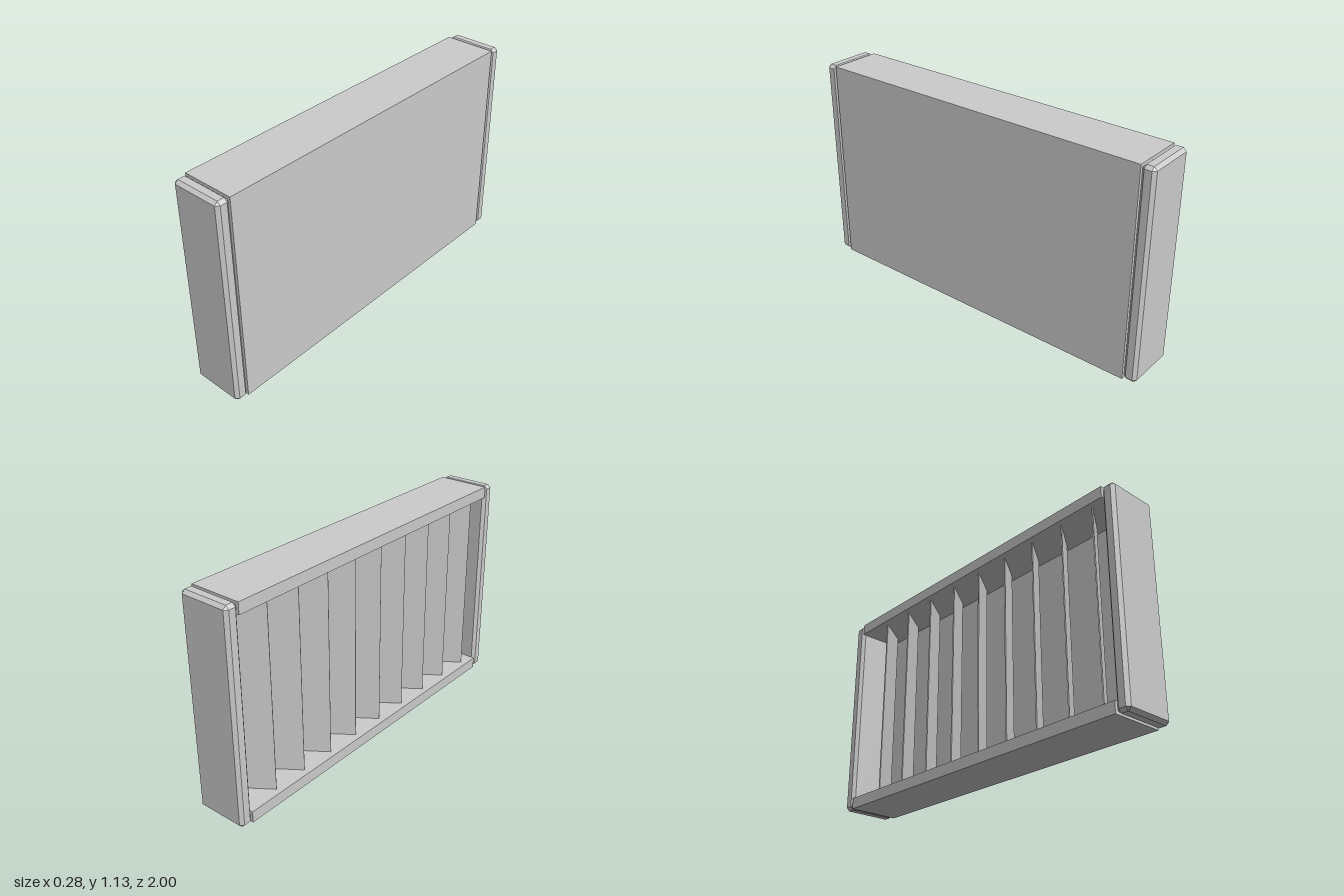
import * as THREE from 'three';
import { ConvexGeometry } from 'three/addons/geometries/ConvexGeometry.js';

const W = 0.28, H = 1.127, BODY = 1.86, RAIL = 0.06, WALL = 0.06;

// Box with flat 45 degree bevels on every edge
function bevelledBox(w, h, d, b) {
  const points = [];
  for (const x of [-1, 1]) for (const y of [-1, 1]) for (const z of [-1, 1]) {
    for (const [i, j, k] of [[0, b, b], [b, 0, b], [b, b, 0]]) {
      points.push(new THREE.Vector3(x * (w / 2 - i), y * (h / 2 - j), z * (d / 2 - k)));
    }
  }
  return new ConvexGeometry(points);
}

export function createModel() {
  const group = new THREE.Group();
  const grey = new THREE.MeshStandardMaterial({ color: 0xcccccc });
  grey.name = 'plain grey';

  const add = (name, geometry, x, y, z) => {
    const mesh = new THREE.Mesh(geometry, grey);
    mesh.name = name;
    mesh.position.set(x, y, z);
    group.add(mesh);
    return mesh;
  };

  // Bevelled end posts
  const post = bevelledBox(W, H, 0.07, 0.0165);
  add('frontPost', post, 0, H / 2, 0.965);
  add('backPost', post, 0, H / 2, -0.965);

  // Solid panel on the left, with top and bottom rails framing the open side
  add('sidePanel', new THREE.BoxGeometry(WALL, H, BODY), W / 2 - WALL / 2, H / 2, 0);
  const rail = new THREE.BoxGeometry(W - WALL, RAIL, BODY);
  add('bottomRail', rail, -WALL / 2, RAIL / 2, 0);
  add('topRail', rail, -WALL / 2, H - RAIL / 2, 0);

  // Nine upright louvre slats, turned inside the opening
  const slat = new THREE.BoxGeometry(0.188, H - 2 * RAIL, 0.006);
  for (let i = -4; i <= 4; i++) {
    const mesh = add('louvreSlat' + (i + 5), slat, -0.03, H / 2, i * 0.1975);
    mesh.rotation.y = THREE.MathUtils.degToRad(35);
  }
  return group;
}
